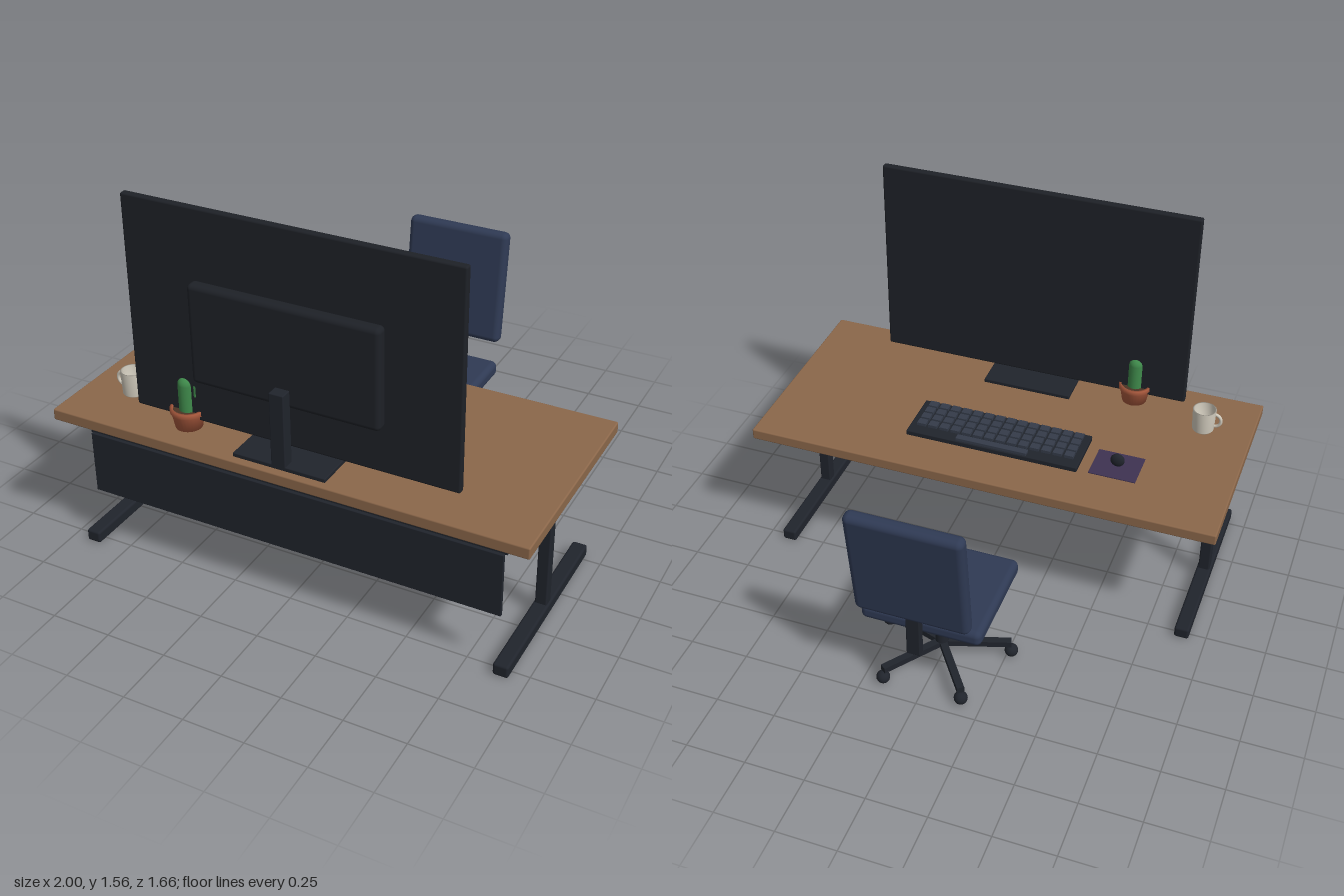
import * as THREE from 'three';
import { RoundedBoxGeometry } from 'three/addons/geometries/RoundedBoxGeometry.js';

const material = (color, side = THREE.FrontSide) => new THREE.MeshStandardMaterial({ color, side });

export function createModel() {
  const model = new THREE.Group();
  const metal = material(0x20242c);
  const screenMat = material(0x1e2127);
  const wood = material(0x8b674a);
  const fabric = material(0x2f3a54);
  const keyMat = material(0x343b49);
  const padMat = material(0x3e3252);
  const clay = material(0xa9593d);
  const soilMat = material(0x4a3324);
  const green = material(0x3f8a4b);
  const china = material(0xcfc9bb, THREE.DoubleSide);

  const group = (name) => {
    const g = new THREE.Group();
    g.name = name;
    model.add(g);
    return g;
  };
  const add = (parent, name, geometry, mat, x = 0, y = 0, z = 0) => {
    const mesh = new THREE.Mesh(geometry, mat);
    mesh.name = name;
    mesh.position.set(x, y, z);
    parent.add(mesh);
    return mesh;
  };
  // Rounded box given by its minimum and maximum on each axis
  const block = (parent, name, mat, [x0, x1], [y0, y1], [z0, z1], r = 0.004) =>
    add(parent, name, new RoundedBoxGeometry(x1 - x0, y1 - y0, z1 - z0, 3, r), mat,
      (x0 + x1) / 2, (y0 + y1) / 2, (z0 + z1) / 2);

  // Desk
  const desk = group('desk');
  block(desk, 'deskTop', wood, [-1, 1], [0.58, 0.628], [-0.08, 0.833], 0.006);
  for (const s of [-1, 1]) {
    const span = (half) => [s * 0.9 - half, s * 0.9 + half];
    block(desk, 'legFoot', metal, span(0.031), [0, 0.052], [-0.035, 0.797], 0.01);
    block(desk, 'legPost', metal, span(0.024), [0.045, 0.54], [0.357, 0.403], 0.006);
    block(desk, 'legTopBar', metal, span(0.025), [0.53, 0.58], [0.003, 0.757], 0.01);
  }
  block(desk, 'crossBeam', metal, [-0.89, 0.89], [0.508, 0.55], [0.722, 0.752]);
  block(desk, 'modestyPanel', metal, [-0.88, 0.88], [0.245, 0.513], [0.75, 0.765], 0.003);

  // Monitor, its screen facing the chair
  const monitor = group('monitor');
  block(monitor, 'screen', screenMat, [-0.683, 0.683], [0.672, 1.555], [0.674, 0.705], 0.008);
  block(monitor, 'backHousing', screenMat, [-0.39, 0.39], [0.867, 1.275], [0.70, 0.756], 0.02);
  block(monitor, 'standNeck', metal, [-0.03, 0.03], [0.635, 0.945], [0.752, 0.802]);
  block(monitor, 'standBase', metal, [-0.195, 0.195], [0.627, 0.645], [0.585, 0.802]);

  // Keyboard with four key rows and a space bar on the chair side
  const keyboard = group('keyboard');
  block(keyboard, 'keyboardBody', metal, [-0.374, 0.374], [0.627, 0.65], [0.112, 0.343]);
  const keyGeometry = new THREE.BoxGeometry(0.038, 0.018, 0.034);
  for (let row = 0; row < 4; row++) {
    for (let col = 0; col < 14; col++) {
      add(keyboard, 'key', keyGeometry, keyMat, (col - 6.5) * 0.05, 0.654, 0.18 + row * 0.044);
    }
  }
  block(keyboard, 'spaceBar', keyMat, [-0.155, 0.155], [0.645, 0.663], [0.118, 0.147], 0.002);

  // Mouse and mat
  const pointer = group('mouseSet');
  block(pointer, 'mouseMat', padMat, [-0.618, -0.42], [0.627, 0.633], [0.126, 0.29], 0.002);
  const mouse = add(pointer, 'mouse', new THREE.SphereGeometry(1, 24, 16), metal, -0.52, 0.661, 0.208);
  mouse.scale.set(0.03, 0.03, 0.017);

  // Potted cactus
  const plant = group('pottedCactus');
  plant.position.set(-0.46, 0.627, 0.69);
  const potProfile = [[0, 0], [0.053, 0], [0.065, 0.065], [0.07, 0.065], [0.07, 0.085], [0.06, 0.085], [0.058, 0.072]];
  const pot = new THREE.LatheGeometry(potProfile.map((p) => new THREE.Vector2(...p)), 28);
  add(plant, 'pot', pot, material(0xa9593d, THREE.DoubleSide));
  add(plant, 'soil', new THREE.CylinderGeometry(0.06, 0.06, 0.01, 28), soilMat, 0, 0.07, 0);
  add(plant, 'cactusStem', new THREE.CapsuleGeometry(0.034, 0.11, 8, 20), green, 0, 0.13, 0);
  add(plant, 'cactusArm', new THREE.CapsuleGeometry(0.016, 0.04, 6, 14), green, 0.045, 0.168, 0);
  add(plant, 'cactusJoint', new THREE.CylinderGeometry(0.014, 0.014, 0.045, 14), green, 0.025, 0.15, 0)
    .rotation.z = Math.PI / 2;

  // Mug
  const mug = group('mug');
  mug.position.set(-0.79, 0.627, 0.582);
  const mugProfile = [[0, 0], [0.042, 0], [0.046, 0.006], [0.05, 0.102], [0.044, 0.102], [0.041, 0.012], [0, 0.012]];
  add(mug, 'mugBody', new THREE.LatheGeometry(mugProfile.map((p) => new THREE.Vector2(...p)), 32), china);
  add(mug, 'mugHandle', new THREE.TorusGeometry(0.03, 0.007, 10, 24, Math.PI), china, -0.043, 0.055, 0)
    .rotation.z = Math.PI / 2;

  // Office chair
  const chair = group('chair');
  block(chair, 'seat', fabric, [-0.25, 0.25], [0.332, 0.402], [-0.688, -0.223], 0.026);
  const back = add(chair, 'backrest', new RoundedBoxGeometry(0.468, 0.51, 0.063, 4, 0.026), fabric, 0, 0.718, -0.769);
  back.rotation.x = -0.125;
  block(chair, 'backrestBar', metal, [-0.028, 0.028], [0.28, 0.6], [-0.755, -0.719]);
  add(chair, 'seatPost', new THREE.CylinderGeometry(0.028, 0.028, 0.28, 24), metal, 0, 0.2, -0.455);

  // Five spokes with casters
  const reach = 0.283;
  for (let i = 0; i < 5; i++) {
    const spoke = new THREE.Group();
    spoke.name = 'chairSpoke';
    spoke.position.set(0, 0, -0.455);
    spoke.rotation.y = (i * Math.PI * 2) / 5;
    add(spoke, 'spokeArm', new THREE.BoxGeometry(0.03, 0.026, reach), metal, 0, 0.071, reach / 2);
    add(spoke, 'caster', new THREE.SphereGeometry(0.028, 20, 14), metal, 0, 0.029, reach);
    chair.add(spoke);
  }
  return model;
}
